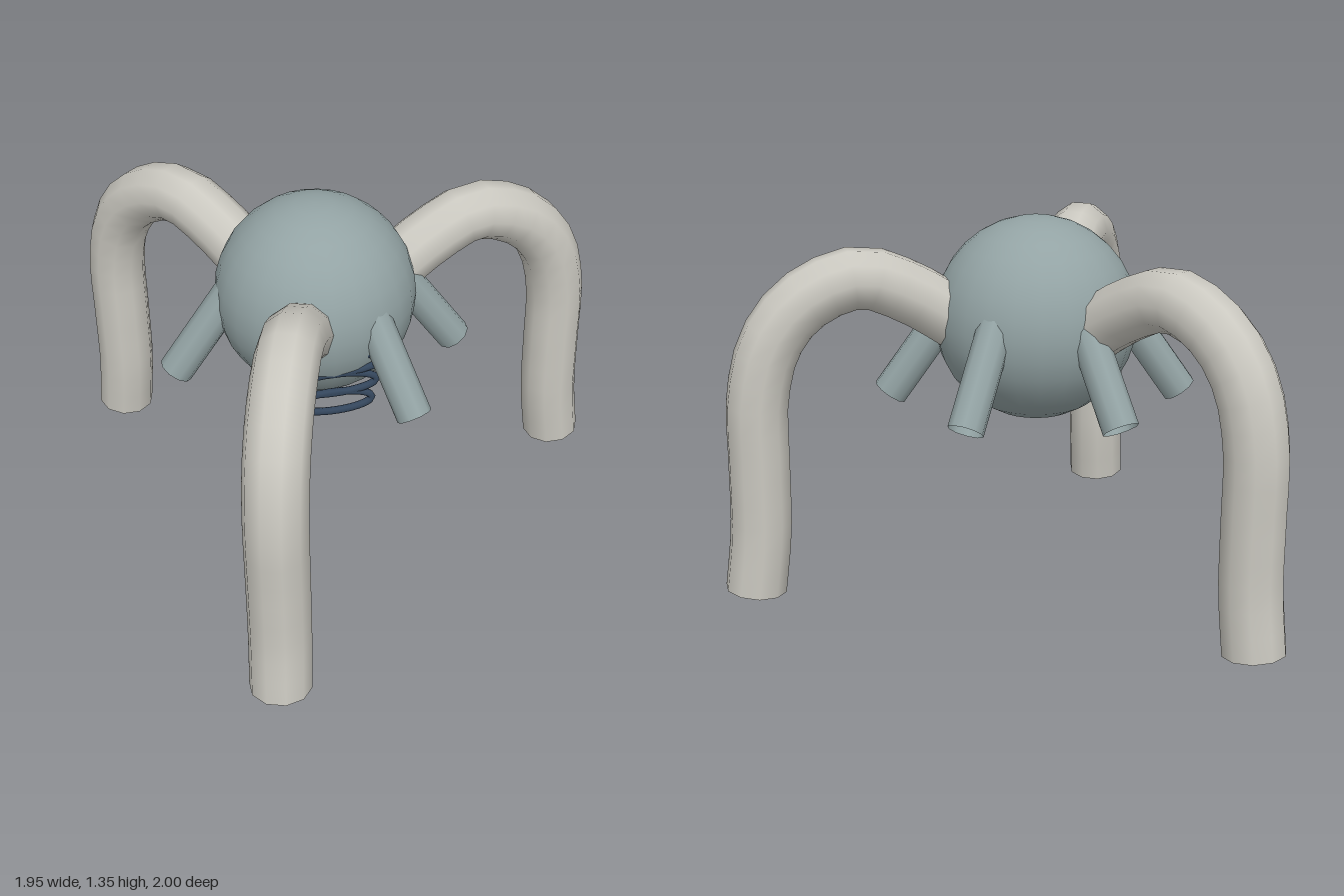
import * as THREE from 'three';

const DEG = Math.PI / 180;

export function createModel() {
  const bodyGrey = new THREE.MeshStandardMaterial({ color: 0x93a3a4, side: THREE.DoubleSide });
  bodyGrey.name = 'body grey';
  const legCream = new THREE.MeshStandardMaterial({ color: 0xcac8c0, side: THREE.DoubleSide });
  legCream.name = 'leg cream';
  const ringBlue = new THREE.MeshStandardMaterial({ color: 0x34465c });
  ringBlue.name = 'ring blue';

  const model = new THREE.Group();
  model.name = 'threeLeggedPod';
  // Everything hangs on the vertical axis through the ball
  const pod = new THREE.Group();
  pod.name = 'pod';
  pod.position.set(-0.168, 0, -0.107);
  model.add(pod);

  const add = (name, geometry, material, parent = pod) => {
    const mesh = new THREE.Mesh(geometry, material);
    mesh.name = name;
    parent.add(mesh);
    return mesh;
  };

  // Ball body
  add('body', new THREE.SphereGeometry(0.37, 24, 16), bodyGrey).position.y = 0.99;

  // Three arched legs, open at the foot: [radius from axis, height]
  const legPath = new THREE.CatmullRomCurve3([
    [0.28, 0.99], [0.44, 1.095], [0.64, 1.172], [0.84, 1.10], [0.96, 0.96],
    [1.015, 0.76], [1.02, 0.5], [1.024, 0.25], [1.05, 0.026],
  ].map(([r, y]) => new THREE.Vector3(r, y, 0)));
  const legGeometry = new THREE.TubeGeometry(legPath, 20, 0.112, 10, false);
  for (let i = 0; i < 3; i++) {
    add('leg' + (i + 1), legGeometry, legCream).rotation.y = -(108.6 + i * 120) * DEG;
  }

  // Six short open pipes slanting down and outwards
  const pipeGeometry = new THREE.CylinderGeometry(0.065, 0.065, 0.4, 10, 1, true);
  for (let i = 0; i < 6; i++) {
    const holder = new THREE.Group();
    holder.name = 'pipeHolder' + (i + 1);
    holder.rotation.y = i * 60 * DEG;
    pod.add(holder);
    const pipe = add('pipe', pipeGeometry, bodyGrey, holder);
    pipe.position.set(0.417, 0.874, 0);
    pipe.rotation.z = 35 * DEG;
  }

  // Upright oval rings on the front, partly sunk into the ball: [width, height]
  [[0.14, 0.718], [0.157, 0.797], [0.172, 0.88]].forEach(([rx, y], i) => {
    const points = [];
    for (let k = 0; k < 24; k++) {
      const a = k * 15 * DEG;
      points.push(new THREE.Vector3(rx * Math.cos(a), 0.042 * Math.sin(a), 0));
    }
    const oval = new THREE.CatmullRomCurve3(points, true);
    add('ring' + (i + 1), new THREE.TubeGeometry(oval, 40, 0.014, 8, true), ringBlue)
      .position.set(0, y, 0.322);
  });

  return model;
}
